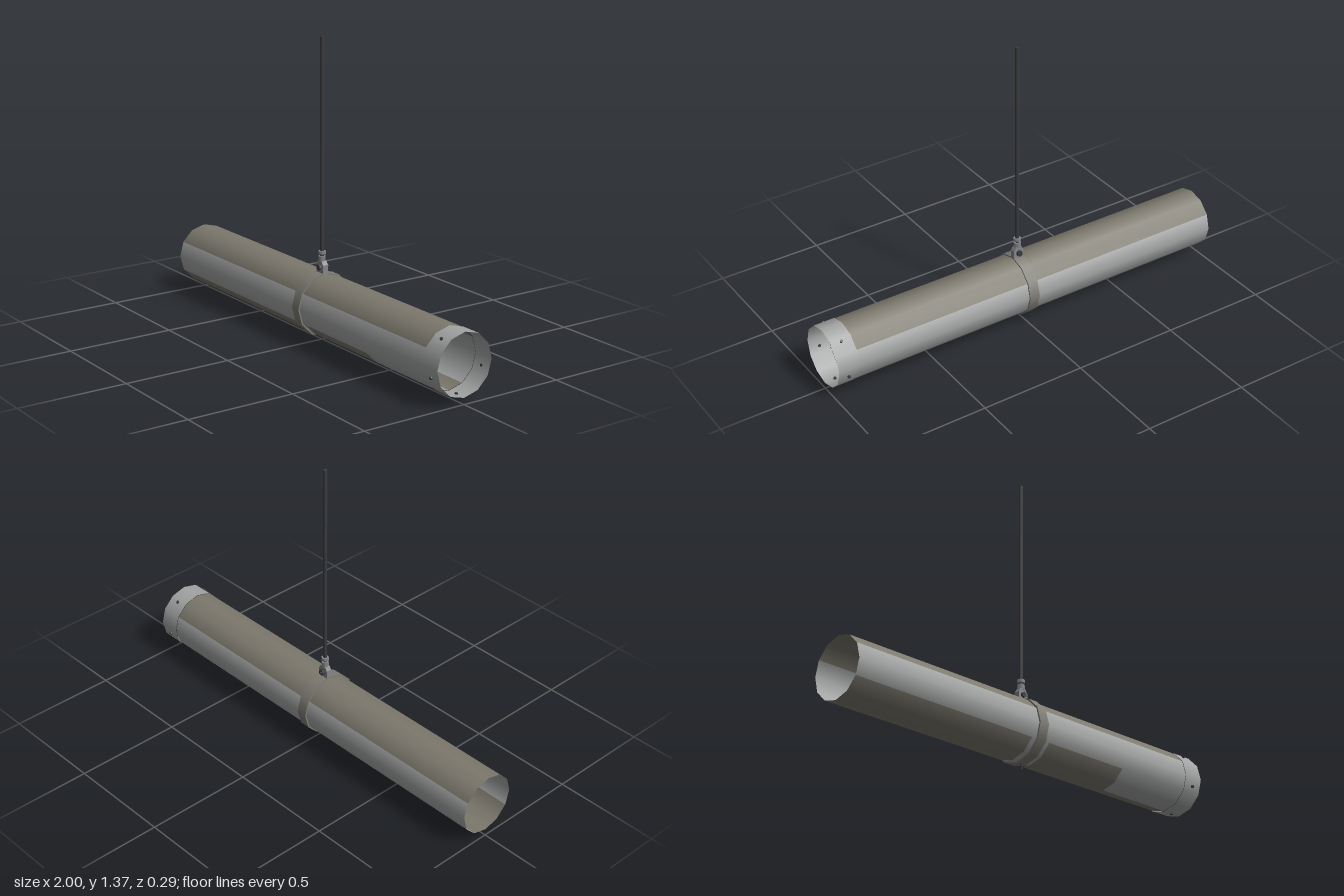
import * as THREE from 'three';

export function createModel() {
  const group = new THREE.Group();
  const mat = (name, color, side = THREE.FrontSide) => {
    const m = new THREE.MeshStandardMaterial({ color, side });
    m.name = name;
    return m;
  };
  const metal = mat('galvanised metal', 0xa3a5a4, THREE.DoubleSide);
  const dust = mat('dust', 0x7d796e, THREE.DoubleSide);
  const strap = mat('strap', 0x7e7c74, THREE.DoubleSide);
  const steel = mat('hanger steel', 0x85868a);
  const dark = mat('dark steel', 0x3c3c3e);

  const R = 0.139, CY = 0.17, DEG = Math.PI / 180;
  const add = (name, geo, material, x = 0, y = 0, z = 0) => {
    const mesh = new THREE.Mesh(geo, material);
    mesh.name = name;
    mesh.position.set(x, y, z);
    group.add(mesh);
    return mesh;
  };

  // Curved shell strip along x; angles run from the top towards +z, 30 degrees a facet
  const shell = (name, material, r, x0, x1, a0, a1) => {
    const geo = new THREE.CylinderGeometry(r, r, x1 - x0, (a1 - a0) / 30, 1, true, (a0 - 90) * DEG, (a1 - a0) * DEG);
    geo.rotateZ(-Math.PI / 2);
    return add(name, geo, material, (x0 + x1) / 2, CY, 0);
  };

  // Duct: dusty top, clean sides, dirty patches below
  shell('dustyTop', dust, R, -1, 0.9, -60, 60);
  shell('frontSide', metal, R, -1, 0.9, 60, 120);
  shell('backSide', metal, R, -1, 0.9, 210, 300);
  for (const [a0, a1, end] of [[120, 180, 0.5], [180, 210, 0.9]]) {
    shell('dirtyUnderside', dust, R, -1, -0.05, a0, a1);
    shell('cleanUnderside', metal, R, -0.05, 0.05, a0, a1);
    shell('dirtyUnderside', dust, R, 0.05, end, a0, a1);
    if (end < 0.9) shell('cleanUnderside', metal, R, end, 0.9, a0, a1);
  }

  // End collar with five screws
  shell('collar', metal, 0.141, 0.9, 1, 0, 360);
  for (let i = 0; i < 5; i++) {
    const a = (36 + i * 72) * DEG, d = 0.139;
    const screw = add('collarScrew', new THREE.CylinderGeometry(0.007, 0.007, 0.01, 8), dark,
      0.95, CY + d * Math.cos(a), d * Math.sin(a));
    screw.rotation.x = a;
  }

  // Strap around the middle, with closed edges
  shell('strap', strap, 0.146, -0.025, 0.025, 0, 360);
  for (const s of [-1, 1]) {
    const edge = add('strapEdge', new THREE.RingGeometry(R - 0.001, 0.146, 12), strap, s * 0.025, CY, 0);
    edge.rotation.y = s * Math.PI / 2;
  }
  add('strapBoltHead', new THREE.CylinderGeometry(0.008, 0.008, 0.012, 6), dark, 0.004, 0.02, 0);
  add('strapBolt', new THREE.CylinderGeometry(0.004, 0.004, 0.022, 8), dark, 0.004, 0.011, 0);

  // Hanger bracket, tapered towards the top
  const side = new THREE.Shape([[-0.025, 0.305], [0.025, 0.305], [0.025, 0.35], [0.014, 0.368], [-0.014, 0.368], [-0.025, 0.35]]
    .map(([x, y]) => new THREE.Vector2(x, y)));
  add('bracket', new THREE.ExtrudeGeometry(side, { depth: 0.026, bevelEnabled: false }), steel, 0, 0, -0.013);

  // Cross bolt through the bracket
  const along = (name, r, z0, z1, sides) => {
    const geo = new THREE.CylinderGeometry(r, r, z1 - z0, sides).rotateX(Math.PI / 2);
    add(name, geo, dark, 0, 0.338, (z0 + z1) / 2);
  };
  along('crossBolt', 0.006, -0.032, 0.018, 8);
  along('crossBoltHead', 0.014, 0.013, 0.022, 6);
  along('crossBoltNut', 0.014, -0.026, -0.013, 6);

  // Threaded rod with its nuts
  add('couplingNut', new THREE.CylinderGeometry(0.017, 0.017, 0.026, 6), steel, 0, 0.376, 0);
  add('lockNut', new THREE.CylinderGeometry(0.018, 0.018, 0.014, 6), steel, 0, 0.405, 0);
  add('rod', new THREE.CylinderGeometry(0.009, 0.009, 1.01, 8), dark, 0, 0.865, 0);
  return group;
}
